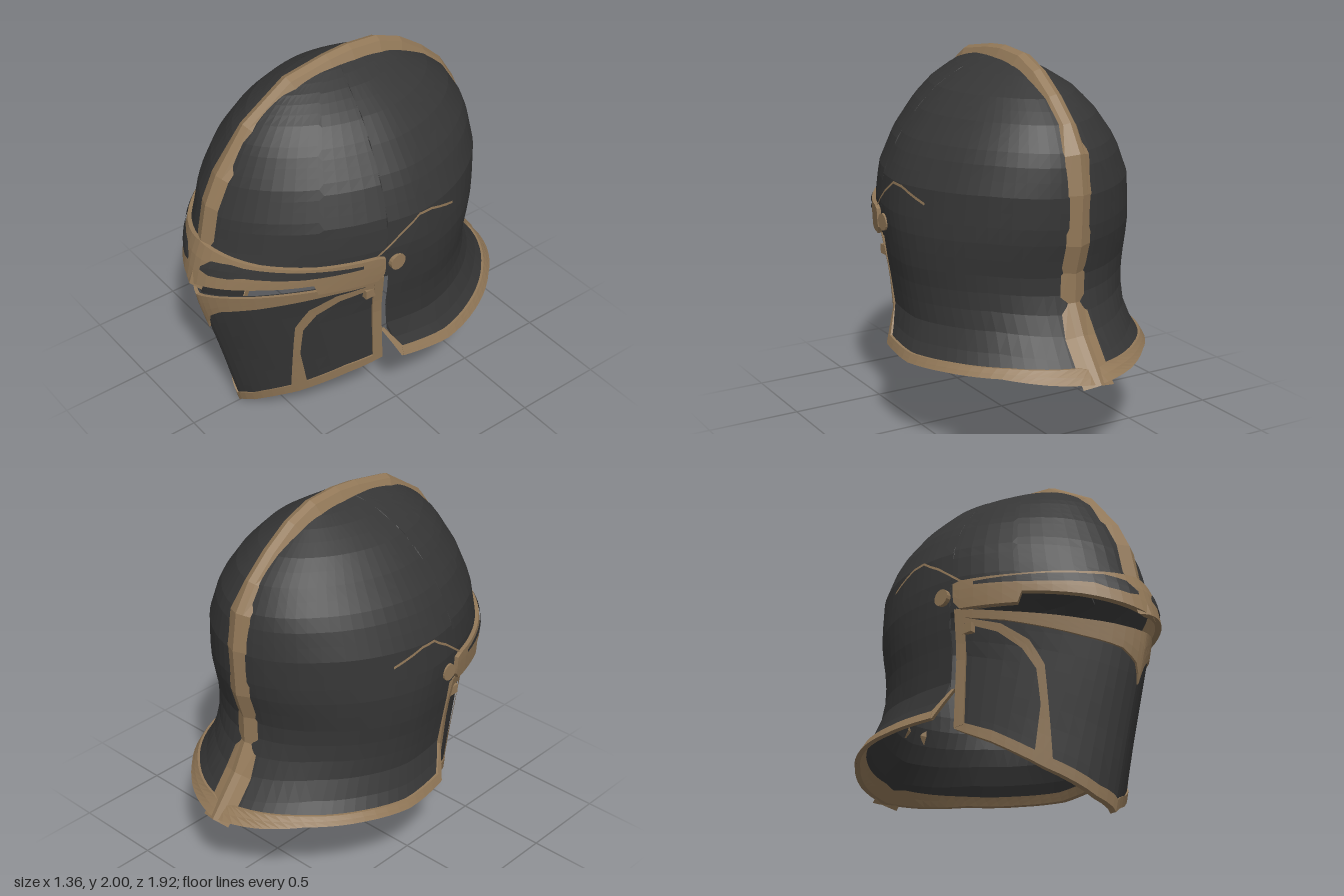
import * as THREE from 'three';

const dark = new THREE.MeshStandardMaterial({ color: 0x363636, flatShading: true, side: THREE.DoubleSide });
dark.name = 'dark steel';
const bronze = new THREE.MeshStandardMaterial({ color: 0x927858, flatShading: true, side: THREE.DoubleSide });
bronze.name = 'bronze trim';

const lerp = THREE.MathUtils.lerp;
const clamp = THREE.MathUtils.clamp;

// A curved wall made of horizontal sections [y, half width, front z, back z, widest z].
// Points on it are [u, y], with u running from 0 at the front to PI at the back.
function makeWall(rows, frontPower, backPower) {
  const section = (y) => {
    let i = 0;
    while (i < rows.length - 2 && y > rows[i + 1][0]) i++;
    const a = rows[i], b = rows[i + 1];
    const t = clamp((y - a[0]) / (b[0] - a[0]), 0, 1);
    return a.map((v, k) => lerp(v, b[k], t));
  };
  const at = (u, y, off) => {
    const [, w, zf, zb, zc] = section(y);
    const c = Math.cos(u), e = 2 / (c >= 0 ? frontPower : backPower);
    const x = (w + off) * Math.pow(Math.max(Math.sin(u), 0), e);
    const reach = c >= 0 ? zf + off - zc : zb - off - zc;
    return new THREE.Vector3(x, y, zc + reach * Math.pow(Math.abs(c), e));
  };
  // find a surface point by its side-on (z, y) or front-on (x, y) place
  const side = (z, y) => {
    const [, , zf, zb, zc] = section(y);
    const r = z >= zc ? (z - zc) / (zf - zc) : (z - zc) / (zc - zb);
    const c = Math.pow(Math.min(Math.abs(r), 1), (r >= 0 ? frontPower : backPower) / 2);
    return [Math.acos(r >= 0 ? c : -c), y];
  };
  const front = (x, y) => [Math.asin(Math.pow(Math.min(x / section(y)[1], 1), frontPower / 2)), y];
  return { at, side, front };
}

const shell = makeWall([
  [0.43, 0.68, 0.90, -0.94, -0.15], [0.50, 0.65, 0.91, -0.88, -0.13],
  [0.62, 0.59, 0.92, -0.78, -0.08], [0.80, 0.605, 0.92, -0.69, -0.05],
  [0.95, 0.63, 0.935, -0.69, -0.05], [1.10, 0.645, 0.90, -0.73, -0.03],
  [1.20, 0.645, 0.86, -0.745, 0], [1.36, 0.63, 0.82, -0.75, 0],
  [1.54, 0.55, 0.74, -0.72, 0], [1.70, 0.43, 0.64, -0.62, 0],
  [1.80, 0.33, 0.54, -0.50, 0], [1.88, 0.20, 0.42, -0.36, 0],
  [1.93, 0.09, 0.28, -0.25, 0], [1.96, 0, 0.10, -0.12, 0]], 1.75, 1.85);

const face = makeWall([
  [0, 0.57, 0.69, -0.6, 0], [0.4, 0.585, 0.79, -0.6, 0],
  [0.8, 0.61, 0.90, -0.6, 0], [1.05, 0.66, 0.95, -0.6, 0]], 1.4, 2);

// Sheet on a wall between two matching lines; thick > 0 closes it into a slab.
function sheet(wall, lineA, lineB, { rows = 2, off = 0.01, thick = 0, ease = 1, s = 1 }) {
  const cols = [];
  for (let i = 0; i < lineA.length - 1; i++) {
    const span = Math.max(...[lineA, lineB].map((l) =>
      Math.max(Math.abs(l[i + 1][0] - l[i][0]), Math.abs(l[i + 1][1] - l[i][1]))));
    const n = Math.max(1, Math.ceil(span / 0.1));
    for (let k = i ? 1 : 0; k <= n; k++) {
      cols.push([lineA, lineB].map((l) => [0, 1].map((d) => lerp(l[i][d], l[i + 1][d], k / n))));
    }
  }
  const nc = cols.length, nr = rows + 1, pos = [], index = [];
  const quad = (a, b, c, d) => (s > 0 ? index.push(a, b, c, a, c, d) : index.push(a, c, b, a, d, c));
  const layers = thick > 0 ? [off, off - thick] : [off];
  layers.forEach((o, layer) => {
    for (const [a, b] of cols) {
      for (let j = 0; j < nr; j++) {
        const t = 1 - Math.pow(1 - j / rows, ease);
        const p = wall.at(lerp(a[0], b[0], t), lerp(a[1], b[1], t), o);
        pos.push(p.x * s, p.y, p.z);
      }
    }
    const id = (i, j) => layer * nc * nr + i * nr + j;
    for (let i = 0; i < nc - 1; i++) {
      for (let j = 0; j < rows; j++) {
        const q = [id(i, j), id(i + 1, j), id(i + 1, j + 1), id(i, j + 1)];
        quad(...(layer ? q.reverse() : q));
      }
    }
  });
  if (thick > 0) {
    const rim = [], n = nc * nr;
    for (let i = 0; i < nc - 1; i++) rim.push(i * nr);
    for (let j = 0; j < rows; j++) rim.push((nc - 1) * nr + j);
    for (let i = nc - 1; i > 0; i--) rim.push(i * nr + rows);
    for (let j = rows; j > 0; j--) rim.push(j);
    rim.forEach((a, k) => {
      const b = rim[(k + 1) % rim.length];
      quad(a, a + n, b + n, b);
    });
  }
  const g = new THREE.BufferGeometry();
  g.setAttribute('position', new THREE.Float32BufferAttribute(pos, 3));
  g.setIndex(index);
  g.computeVertexNormals();
  return g;
}

// Raised ridge over the crown, from the brow to the tail
function crestGeometry() {
  const path = [[0.962, 0.965], [0.88, 1.2], [0.84, 1.4], [0.77, 1.55], [0.6, 1.78], [0.34, 1.95],
    [0.1, 1.99], [-0.04, 2], [-0.22, 1.985], [-0.37, 1.925], [-0.52, 1.82], [-0.65, 1.7], [-0.74, 1.56],
    [-0.77, 1.36], [-0.76, 1.1], [-0.715, 0.95], [-0.715, 0.8], [-0.79, 0.65], [-0.955, 0.44]];
  const pos = [], index = [];
  path.forEach(([z, y], i) => {
    const a = path[Math.max(i - 1, 0)], b = path[Math.min(i + 1, path.length - 1)];
    const len = Math.hypot(b[0] - a[0], b[1] - a[1]);
    const nz = (b[1] - a[1]) / len, ny = -(b[0] - a[0]) / len;
    const depth = 0.03 + 0.045 * THREE.MathUtils.smoothstep(y, 1.5, 1.9);
    const half = y < 0.7 ? 0.09 : 0.07;
    for (const [x, d] of [[-half, depth], [-0.035, 0.015], [0, 0], [0.035, 0.015], [half, depth]]) {
      pos.push(x, y - ny * d, z - nz * d);
    }
    if (i) {
      for (let k = 0; k < 4; k++) {
        const p = (i - 1) * 5 + k;
        index.push(p, p + 1, p + 6, p, p + 6, p + 5);
      }
    }
  });
  const g = new THREE.BufferGeometry();
  g.setAttribute('position', new THREE.Float32BufferAttribute(pos, 3));
  g.setIndex(index);
  g.computeVertexNormals();
  return g;
}

export function createModel() {
  const model = new THREE.Group();
  model.name = 'helmet';
  const add = (name, geometry, material) => {
    const mesh = new THREE.Mesh(geometry, material);
    mesh.name = name;
    model.add(mesh);
    return mesh;
  };
  const S = (list) => list.map(([z, y]) => shell.side(z, y));
  const F = (list) => list.map(([z, y]) => face.side(z, y));
  const SX = (list) => list.map(([x, y]) => shell.front(x, y));
  const FX = (list) => list.map(([x, y]) => face.front(x, y));

  // Outlines of the shell and the neck rim
  const notch = shell.side(0.17, 1.02);
  const neck = [[0.08, 0.46], [-0.2, 0.45], [-0.45, 0.465], [-0.7, 0.475], [-0.86, 0.455], [-0.96, 0.44]];
  const shellBottom = [...SX([[0, 0.975], [0.3, 1.035]]), ...S([[0.53, 1.06], [0.51, 1], [0.2, 1.02]]),
    notch, [notch[0] + 0.005, 0.62], ...S(neck)];
  const shellTop = shellBottom.map(([u]) => [u, 1.96]);
  const neckUp = neck.map(([z, y], i) => [z, y + (i > 3 ? 0.06 : 0.045)]);

  for (const s of [1, -1]) {
    const side = s > 0 ? 'left' : 'right';
    const put = (name, mat, wall, a, b, opts) => add(side + name, sheet(wall, a, b, { ...opts, s }), mat);

    put('Shell', dark, shell, shellBottom, shellTop, { rows: 22, off: 0, ease: 1.5 });
    put('NeckRim', bronze, shell, S(neck), S(neckUp), { off: 0.012, thick: 0.03 });
    put('ShellFrontEdge', bronze, shell, S([[0.165, 0.62], [0.09, 0.46]]), S([[0.145, 0.62], [0.05, 0.47]]),
      { off: 0.01, thick: 0.02 });

    // Brow plate with its dark inset
    put('Brow', bronze, shell,
      [...SX([[0, 0.965], [0.3, 1.03]]), ...S([[0.53, 1.06], [0.51, 1], [0.23, 1.02], [0.2, 1.06]])],
      [...SX([[0, 1.2], [0.3, 1.165]]), ...S([[0.53, 1.16], [0.51, 1.16], [0.24, 1.17], [0.2, 1.16]])],
      { rows: 3, off: 0.022, thick: 0.035 });
    put('BrowInset', dark, shell,
      SX([[0.05, 1.07], [0.1, 1.06], [0.2, 1.075], [0.25, 1.095], [0.45, 1.105], [0.58, 1.13]]),
      SX([[0.05, 1.09], [0.1, 1.14], [0.2, 1.155], [0.25, 1.15], [0.45, 1.148], [0.58, 1.148]]),
      { off: 0.028 });

    // Thin line rising over the temple
    const arc = [[0.24, 1.165], [0.1, 1.275], [0.0, 1.34], [-0.08, 1.335], [-0.25, 1.275]];
    put('TempleLine', bronze, shell, S(arc), S(arc.map(([z, y]) => [z, y + 0.014])), { rows: 1, off: 0.008 });

    // Lower face plate and its trim
    put('FacePlate', dark, face,
      [...FX([[0, 0.01], [0.1, 0.07], [0.3, 0.2], [0.46, 0.34]]), face.side(0.15, 0.42)],
      [...FX([[0, 0.87], [0.1, 0.89], [0.25, 0.92], [0.48, 0.98]]), face.side(0.2, 1.03)],
      { rows: 8, off: 0, thick: 0.02 });
    put('FaceTopTrim', bronze, face,
      FX([[0, 0.62], [0.03, 0.72], [0.1, 0.785], [0.25, 0.84], [0.48, 0.94], [0.59, 0.985]]),
      FX([[0, 0.875], [0.03, 0.88], [0.1, 0.893], [0.25, 0.923], [0.48, 0.983], [0.6, 1.03]]),
      { rows: 3, off: 0.012, thick: 0.02 });
    put('FaceBottomTrim', bronze, face,
      [...FX([[0, 0], [0.1, 0.06], [0.3, 0.19], [0.46, 0.33]]), face.side(0.15, 0.415)],
      [...FX([[0, 0.06], [0.1, 0.115], [0.3, 0.245], [0.46, 0.385]]), face.side(0.15, 0.46)],
      { off: 0.01, thick: 0.035 });
    put('FaceRearTrim', bronze, face, F([[0.148, 0.42], [0.195, 1.03]]), F([[0.195, 0.43], [0.235, 1.01]]),
      { off: 0.012, thick: 0.035 });
    put('CheekBand', bronze, face,
      F([[0.22, 0.985], [0.4, 0.925], [0.51, 0.83], [0.56, 0.7], [0.555, 0.5], [0.54, 0.17]]),
      F([[0.22, 0.955], [0.38, 0.885], [0.475, 0.79], [0.525, 0.68], [0.525, 0.5], [0.475, 0.23]]),
      { rows: 2, off: 0.01 });

    // Hinge rivet and small latch block
    const rivet = add(side + 'HingeRivet', new THREE.CylinderGeometry(0.045, 0.045, 0.03, 16), bronze);
    rivet.rotation.z = Math.PI / 2;
    rivet.position.copy(shell.at(...shell.side(0.13, 1.108), 0));
    rivet.position.x *= s;
    const latch = add(side + 'Latch', new THREE.BoxGeometry(0.03, 0.05, 0.06), bronze);
    latch.position.copy(face.at(...face.side(0.25, 0.92), 0.005));
    latch.position.x *= s;
  }

  add('crest', crestGeometry(), bronze);
  return model;
}
